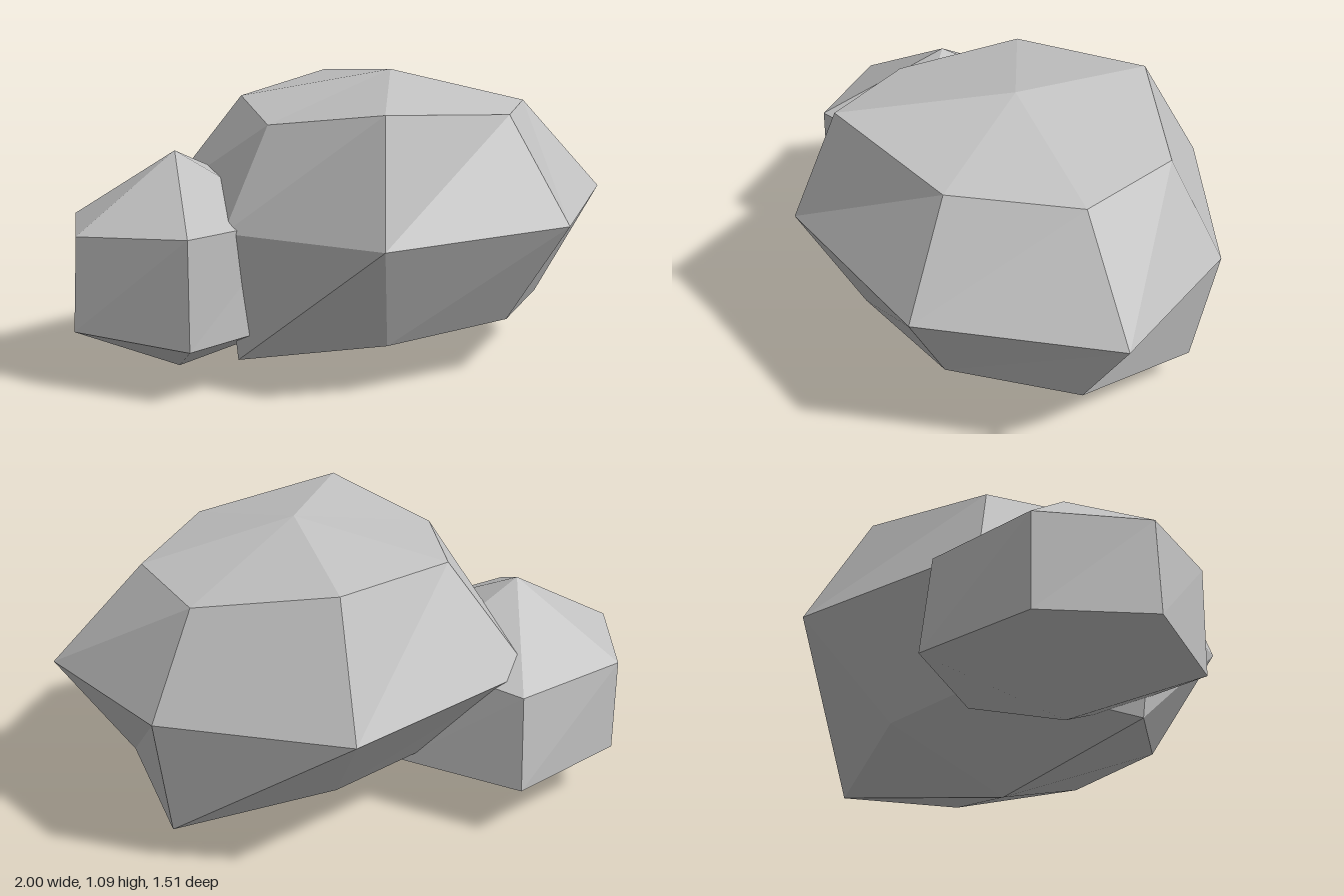
import * as THREE from 'three';

// Faceted boulder: top point, rings from top to bottom (each ordered from +x towards +z), bottom point
function boulder(name, top, rings, bottom, material) {
  const pos = [];
  const tri = (a, b, c) => pos.push(...a, ...b, ...c);
  const n = rings[0].length;
  const last = rings[rings.length - 1];
  for (let i = 0; i < n; i++) {
    const j = (i + 1) % n;
    tri(top, rings[0][j], rings[0][i]);
    for (let r = 0; r < rings.length - 1; r++) {
      const u = rings[r], l = rings[r + 1];
      tri(u[i], u[j], l[j]);
      tri(u[i], l[j], l[i]);
    }
    tri(last[i], last[j], bottom);
  }
  const geo = new THREE.BufferGeometry();
  geo.setAttribute('position', new THREE.Float32BufferAttribute(pos, 3));
  geo.computeVertexNormals();
  const mesh = new THREE.Mesh(geo, material);
  mesh.name = name;
  return mesh;
}

export function createModel() {
  const group = new THREE.Group();
  group.name = 'rocks';
  const stone = new THREE.MeshStandardMaterial({ color: 0xc1c1c1 });
  stone.name = 'stone grey';
  stone.flatShading = true;

  // Large seven-sided boulder: shoulder, waist and foot rings
  group.add(boulder('largeBoulder', [0.18, 1.09, 0.025], [
    [[0.69, 0.945, 0.225], [0.31, 0.965, 0.515], [-0.26, 1.02, 0.48], [-0.405, 0.945, 0.025],
      [-0.2, 0.98, -0.395], [0.32, 1.02, -0.52], [0.71, 0.945, -0.195]],
    [[1, 0.585, 0.35], [0.38, 0.585, 0.755], [-0.37, 0.585, 0.605], [-0.61, 0.585, 0.03],
      [-0.42, 0.585, -0.61], [0.4, 0.585, -0.755], [0.905, 0.585, -0.265]],
    [[0.74, 0.185, 0.265], [0.31, 0.205, 0.52], [-0.2, 0.185, 0.43], [-0.55, 0.11, 0.025],
      [-0.2, 0.25, -0.38], [0.28, 0.22, -0.43], [0.83, 0.13, -0.23]],
  ], [0.18, 0.02, 0.025], stone));

  // Small six-sided boulder leaning into the large one
  group.add(boulder('smallBoulder', [-0.55, 0.82, -0.34], [
    [[-0.1, 0.6, -0.34], [-0.33, 0.6, 0.07], [-0.8, 0.6, 0.08],
      [-0.98, 0.565, -0.34], [-0.765, 0.56, -0.685], [-0.31, 0.555, -0.72]],
    [[-0.05, 0.2, -0.34], [-0.32, 0.22, 0.08], [-0.8, 0.2, 0.08],
      [-1, 0.22, -0.34], [-0.765, 0.21, -0.685], [-0.295, 0.2, -0.755]],
  ], [-0.55, 0, -0.34], stone));

  return group;
}
